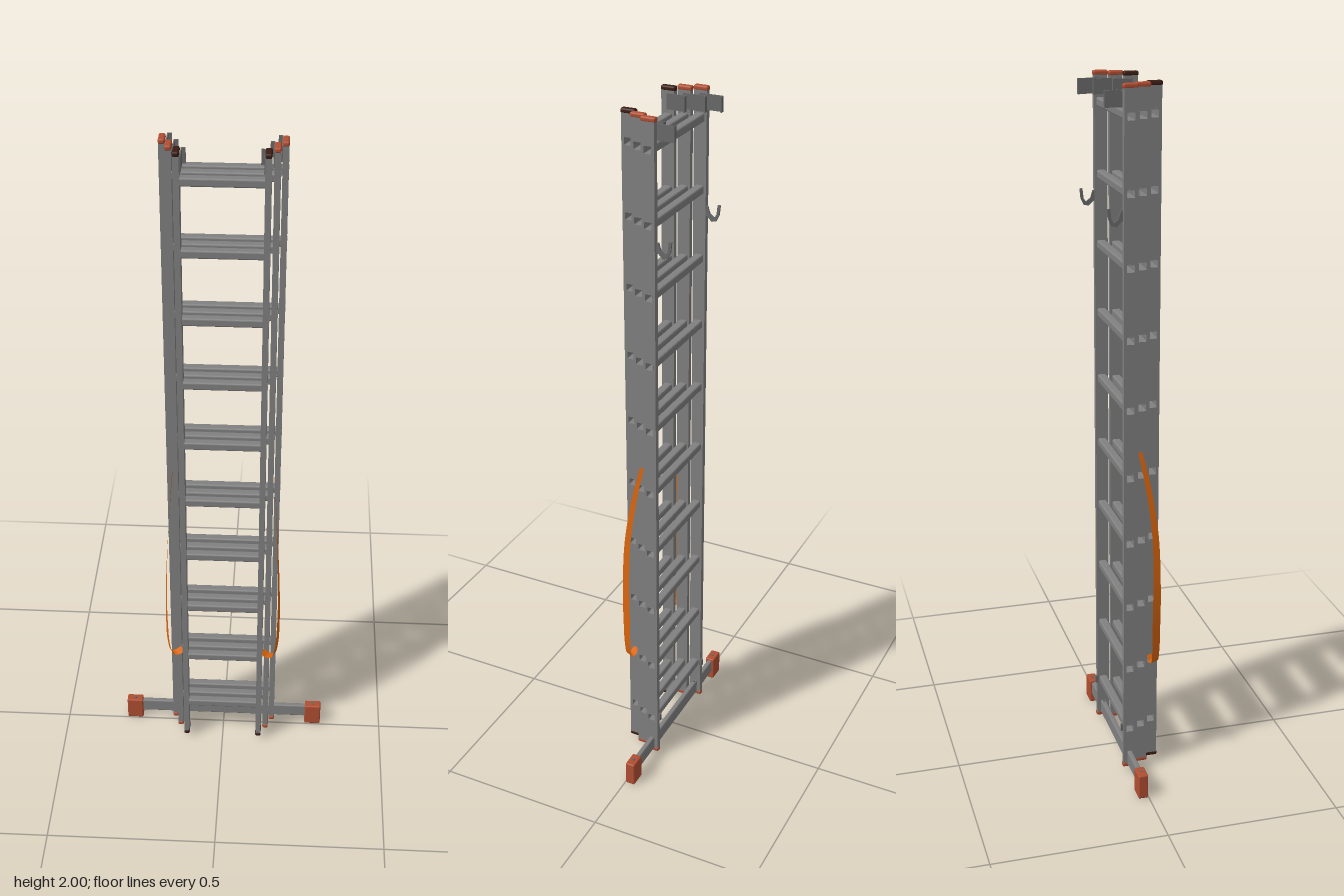
import * as THREE from 'three';
import { RoundedBoxGeometry } from 'three/addons/geometries/RoundedBoxGeometry.js';

const material = (name, color, side = THREE.FrontSide) => {
  const m = new THREE.MeshStandardMaterial({ color, side });
  m.name = name;
  return m;
};

const RUNGS = Array.from({ length: 10 }, (_, i) => 0.144 + i * 0.197);
const RAIL_W = 0.016, RAIL_D = 0.037;

// Rounded rectangle outline, usable as a shape or a hole
function roundRect(target, cx, cy, w, h, r) {
  const x = w / 2 - r, y = h / 2 - r;
  target.absarc(cx + x, cy + y, r, 0, Math.PI / 2);
  target.absarc(cx - x, cy + y, r, Math.PI / 2, Math.PI);
  target.absarc(cx - x, cy - y, r, Math.PI, Math.PI * 1.5);
  target.absarc(cx + x, cy - y, r, Math.PI * 1.5, Math.PI * 2);
  target.closePath();
  return target;
}

// Extrudes a (-z, y) profile along x, centred on x = 0
function extrudeX(shape, length) {
  const g = new THREE.ExtrudeGeometry(shape, { depth: length, bevelEnabled: false, curveSegments: 4 });
  return g.translate(0, 0, -length / 2).rotateY(Math.PI / 2);
}

function add(parent, name, geometry, mat, x = 0, y = 0, z = 0) {
  const mesh = new THREE.Mesh(geometry, mat);
  mesh.name = name;
  mesh.position.set(x, y, z);
  parent.add(mesh);
  return mesh;
}

// Flat webbing swept along a curve; its width direction turns from start to end
function ribbon(points, startDir, endDir, width) {
  const curve = new THREE.CatmullRomCurve3(points);
  const n = 40, pos = [], index = [];
  for (let i = 0; i <= n; i++) {
    const t = i / n, p = curve.getPoint(t);
    const d = startDir.clone().lerp(endDir, t).normalize();
    const w = width * (0.45 + 0.55 * Math.min(1, t * 2.2)) / 2;
    for (const s of [-w, w]) pos.push(p.x + d.x * s, p.y + d.y * s, p.z + d.z * s);
    if (i < n) {
      const a = i * 2;
      index.push(a, a + 1, a + 2, a + 1, a + 3, a + 2);
    }
  }
  const g = new THREE.BufferGeometry();
  g.setAttribute('position', new THREE.Float32BufferAttribute(pos, 3));
  g.setIndex(index);
  g.computeVertexNormals();
  return g;
}

export function createModel() {
  const model = new THREE.Group();
  model.name = 'extensionLadder';
  const metal = material('aluminium', 0x808080);
  const plastic = material('redBrownPlastic', 0xb04e32);
  const darkPlastic = material('darkPlastic', 0x3a1c14);
  const steel = material('bracketSteel', 0x6a6a6a);
  const webbing = material('orangeWebbing', 0xd9650f, THREE.DoubleSide);

  // Side rail with an opening for each hollow rung
  const railShape = new THREE.Shape();
  roundRect(railShape, 0, 1.006, RAIL_D, 1.97, 0.003);
  for (const y of RUNGS) railShape.holes.push(roundRect(new THREE.Path(), 0, y, 0.024, 0.023, 0.005));
  const railGeo = extrudeX(railShape, RAIL_W);

  // Hollow rung profile
  const rungShape = roundRect(new THREE.Shape(), 0, 0, 0.0245, 0.0235, 0.005);
  rungShape.holes.push(roundRect(new THREE.Path(), 0, 0, 0.021, 0.02, 0.002));
  const capGeo = new RoundedBoxGeometry(0.0175, 0.014, 0.042, 2, 0.005);

  const sections = [
    { name: 'backSection', x: 0.1535, z: -0.016, cap: plastic, reach: 0.047 },
    { name: 'middleSection', x: 0.1345, z: 0.022, cap: plastic, reach: 0.047 },
    { name: 'frontSection', x: 0.113, z: 0.059, cap: darkPlastic, reach: 0.036 },
  ];
  for (const { name, x, z, cap, reach } of sections) {
    const section = new THREE.Group();
    section.name = name;
    section.position.z = z;
    model.add(section);
    const rungGeo = extrudeX(rungShape, 2 * x + RAIL_W + 0.001);
    for (const y of RUNGS) add(section, 'rung', rungGeo, metal, 0, y);
    for (const s of [-1, 1]) {
      add(section, 'rail', railGeo, metal, s * x, 0, 0);
      add(section, 'topCap', capGeo, cap, s * x, 1.993);
      add(section, 'bottomCap', capGeo, cap, s * x, 0.023);
      // Guide bracket with its tip bent inwards
      const inner = x - RAIL_W / 2 - 0.0015, zEnd = -RAIL_D / 2 - reach;
      add(section, 'guidePlate', new THREE.BoxGeometry(0.003, 0.042, reach + 0.02),
        steel, s * inner, 1.96, zEnd + (reach + 0.02) / 2);
      add(section, 'guideTip', new THREE.BoxGeometry(0.011, 0.042, 0.003),
        steel, s * (inner - 0.005), 1.96, zEnd + 0.0015);
    }
  }

  // Catch hook profile, drawn with x towards the back
  const hook = new THREE.Shape([
    [0.015, 1.675], [0.024, 1.675], [0.03, 1.655], [0.043, 1.645], [0.05, 1.655], [0.053, 1.682],
    [0.061, 1.682], [0.058, 1.655], [0.05, 1.637], [0.036, 1.633], [0.024, 1.645], [0.015, 1.65],
  ].map(p => new THREE.Vector2(...p)));
  const hookGeo = extrudeX(hook, 0.005);

  // Stabiliser across the bottom
  const stabiliser = new THREE.Group();
  stabiliser.name = 'stabiliser';
  stabiliser.position.z = -0.016;
  model.add(stabiliser);
  add(stabiliser, 'crossbar', new RoundedBoxGeometry(0.54, 0.043, 0.015, 2, 0.004), metal, 0, 0.047);
  const boltGeo = new THREE.CylinderGeometry(0.004, 0.004, 0.004, 10);
  const footGeo = new RoundedBoxGeometry(0.05, 0.074, 0.029, 2, 0.004);

  for (const s of [-1, 1]) {
    add(stabiliser, 'foot', footGeo, plastic, s * 0.285, 0.037);
    add(stabiliser, 'footSole', new THREE.BoxGeometry(0.046, 0.006, 0.025), darkPlastic, s * 0.285, 0.003);
    add(stabiliser, 'footBolt', boltGeo, steel, s * 0.285, 0.075);
    add(stabiliser, 'barBolt', boltGeo, steel, s * 0.138, 0.07);

    add(model, 'catchHook', hookGeo, steel, s * 0.149, 0, -0.016);
    add(model, 'lowerClip', new THREE.BoxGeometry(0.01, 0.022, 0.008), steel, s * 0.149, 0.145, -0.036);

    // Slack safety strap hanging between the middle and front rails
    const path = [
      [0.145, 1.0, 0.017], [0.152, 0.9, 0.038], [0.161, 0.75, 0.058], [0.167, 0.6, 0.062], [0.168, 0.48, 0.061],
      [0.164, 0.39, 0.061], [0.154, 0.35, 0.06], [0.14, 0.347, 0.057], [0.122, 0.36, 0.055],
    ].map(([x, y, z]) => new THREE.Vector3(s * x, y, z));
    const strap = ribbon(path, new THREE.Vector3(s * 0.1, 0, 1), new THREE.Vector3(-s * 0.7, 0, 1), 0.026);
    add(model, 'safetyStrap', strap, webbing);
  }
  return model;
}
